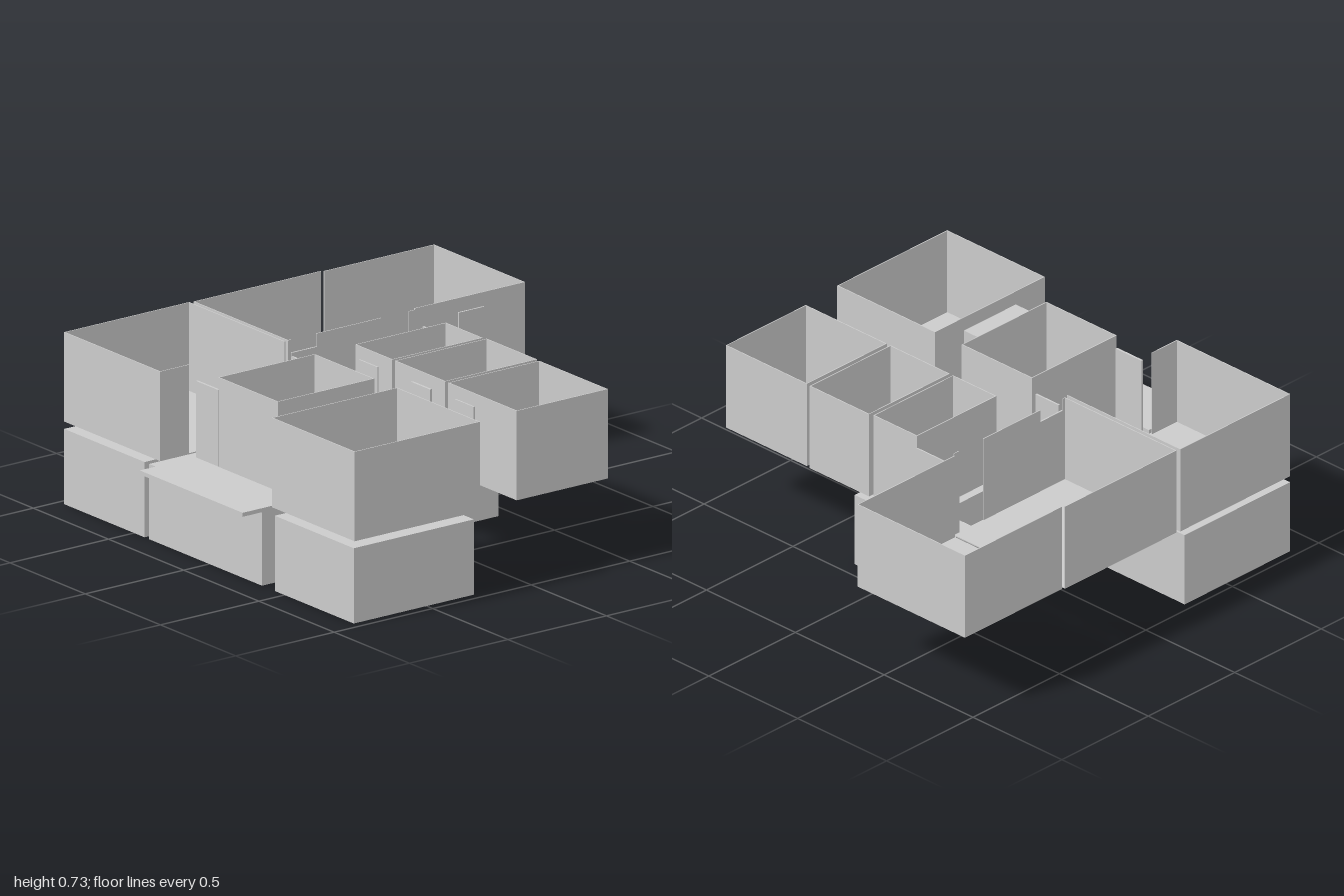
import * as THREE from 'three';

const LOW = 0.32, FLOOR = 0.35, TOP = 0.73, DOOR = 0.675, T = 0.004;

export function createModel() {
  const model = new THREE.Group();
  model.name = 'houseLayout';
  const material = new THREE.MeshStandardMaterial({ color: 0xcccccc, flatShading: true, side: THREE.DoubleSide });

  // Box given by its limits on each axis
  function block(parent, name, x0, x1, y0, y1, z0, z1) {
    const mesh = new THREE.Mesh(new THREE.BoxGeometry(x1 - x0, y1 - y0, z1 - z0), material);
    mesh.position.set((x0 + x1) / 2, (y0 + y1) / 2, (z0 + z1) / 2);
    mesh.name = name;
    parent.add(mesh);
  }

  // Roofless room: a floor and thin walls. Each side lists its wall spans
  // as [from, to]; a side left out is one full wall, an empty list is open.
  function room(name, x0, x1, z0, z1, sides = {}) {
    const g = new THREE.Group();
    g.name = name;
    model.add(g);
    block(g, 'floor', x0, x1, FLOOR, FLOOR + T, z0, z1);
    const { back = [[x0, x1]], front = [[x0, x1]], right = [[z0, z1]], left = [[z0, z1]] } = sides;
    for (const [a, b] of back) block(g, 'backWall', a, b, FLOOR, TOP, z0, z0 + T);
    for (const [a, b] of front) block(g, 'frontWall', a, b, FLOOR, TOP, z1 - T, z1);
    for (const [a, b] of right) block(g, 'rightWall', x0, x0 + T, FLOOR, TOP, a, b);
    for (const [a, b] of left) block(g, 'leftWall', x1 - T, x1, FLOOR, TOP, a, b);
  }

  // Lower storey: closed blocks
  block(model, 'lowerRightRoom', -0.965, -0.43, 0, LOW, 0.26, 0.87);
  block(model, 'lowerMiddleRoom', -0.4, 0.35, 0, LOW, 0.21, 0.87);
  block(model, 'lowerLeftRoom', 0.435, 0.96, 0, LOW, 0.26, 0.87);
  block(model, 'lowerBackRoom', -0.13, 0.22, 0, LOW, -0.43, 0.03);

  // Upper storey: the three large rooms on the right side
  room('backRightRoom', -0.955, -0.35, -1, -0.44, { front: [] });
  room('middleRightRoom', -0.963, -0.335, -0.43, 0.215,
    { back: [], left: [[-0.43, -0.4], [-0.26, 0.07], [0.2, 0.215]] });
  room('frontRightRoom', -0.968, -0.33, 0.232, 0.868, { left: [[0.72, 0.868]] });

  // Upper storey: closed rooms
  room('centreRoom', -0.13, 0.265, 0.235, 0.725);
  room('frontLeftRoom', 0.413, 0.963, 0.232, 0.868);
  room('smallBackRoom', -0.13, 0.115, -0.43, 0.03);
  room('middleBackRoom', 0.133, 0.467, -0.437, 0.03);
  room('leftBackRoom', 0.487, 0.943, -0.433, 0.03);

  // Link between the centre and the front left room
  block(model, 'passage', 0.297, 0.413, FLOOR, 0.67, 0.4, 0.7);

  // Porch
  block(model, 'porch', -0.292, 0.392, 0.33, 0.347, 0.745, 1);

  // Doors facing the front or back: [x0, x1, z0, z1]
  for (const [x0, x1, z0, z1] of [
    [-0.28, -0.135, 0.714, 0.724], [-0.295, -0.165, 0.22, 0.228], [-0.28, -0.13, -0.433, -0.427],
    [-0.1, 0.025, 0.03, 0.036], [0.255, 0.38, 0.031, 0.041], [0.54, 0.665, 0.03, 0.036],
  ]) block(model, 'door', x0, x1, FLOOR, DOOR, z0, z1);

  // Doors facing sideways
  for (const [z0, z1] of [[-0.78, -0.65], [0.07, 0.2]])
    block(model, 'sideDoor', -0.338, -0.331, FLOOR, DOOR, z0, z1);

  // Stair ramp rising towards the back, with a landing on top
  block(model, 'landing', -0.32, -0.158, LOW, LOW + T, -0.43, -0.29);
  const run = 0.32;
  const ramp = new THREE.Mesh(new THREE.BoxGeometry(0.162, T, Math.hypot(run, LOW)), material);
  ramp.name = 'stairRamp';
  ramp.position.set(-0.239, LOW / 2 + 0.002, -0.13);
  ramp.rotation.x = Math.atan2(LOW, run);
  model.add(ramp);

  return model;
}
